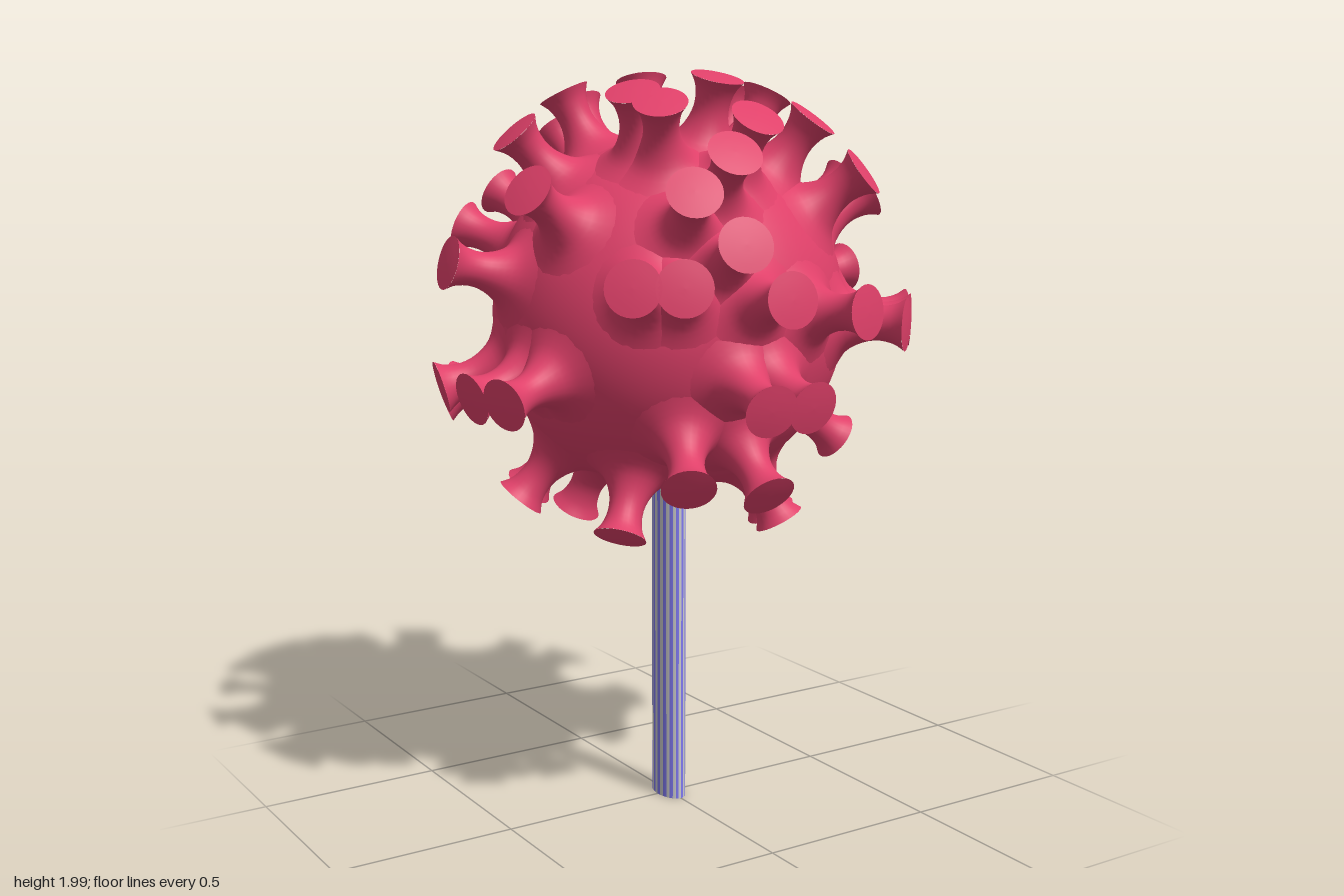
import * as THREE from 'three';
import { mergeGeometries } from 'three/addons/utils/BufferGeometryUtils.js';

const CENTRE_Y = 1.357;
const CORE_R = 0.47;
const TIP_R = 0.645;

// Rings of spikes: latitude, then the longitudes on it (degrees, 0 = front, + towards +x)
const RINGS = [
  [73, 9, 171], [64, -131, -51, 78, 103], [59, -163, -36, 155], [53, 2, 41],
  [48, -166, -98], [42, -13, 129], [36, 42, 139], [32, -71, -26, 84],
  [29, -154, 73, 145], [25, -178], [20, -142, -15], [14, -178, -165, -95],
  [11, -40, -29], [8, -5, 95, 118], [4, 17, 174], [-1, 40, 51, 62, 106],
  [-16, -106, -85, -73, -9, 2], [-20, -137, -117],
];
const LOWER_RINGS = [
  [-36, -27, 82], [-40, -2, 169], [-51, -137, -116, 133], [-58, -54], [-62, -152, 56, 77],
];
const SMALL_RINGS = [[-26, 146], [-37, 137]];

// Spike along +y: stalk flared into the ball and out to the tip, with a domed end
function spikeGeometry() {
  const curve = new THREE.SplineCurve([
    [0.16, 0.437], [0.115, 0.459], [0.077, 0.486], [0.053, 0.528],
    [0.045, 0.57], [0.052, 0.612], [0.069, 0.641],
  ].map(([r, y]) => new THREE.Vector2(r, y)));
  const stalk = new THREE.LatheGeometry(curve.getPoints(16), 28);
  const dome = [0.069, 0.046, 0.023, 0].map(r => new THREE.Vector2(r, Math.sqrt(TIP_R ** 2 - r * r)));
  return mergeGeometries([stalk, new THREE.LatheGeometry(dome, 28)]);
}

// Oval stick made of narrow vertical stripes; parity picks every other stripe
function stripes(parity, height) {
  const count = 32, step = (Math.PI * 2) / count, parts = [];
  for (let i = parity; i < count; i += 2) {
    parts.push(new THREE.CylinderGeometry(1, 1, height, 1, 1, true, i * step, step));
  }
  return mergeGeometries(parts).scale(0.037, 1, 0.064).translate(0, height / 2, 0);
}

export function createModel() {
  const model = new THREE.Group();
  model.name = 'spikyBallOnStick';
  const red = new THREE.MeshStandardMaterial({ color: 0xdf4069 });
  const blue = new THREE.MeshStandardMaterial({ color: 0x7f78f0 });
  const grey = new THREE.MeshStandardMaterial({ color: 0xcccccc });

  const add = (parent, name, geometry, material) => {
    const mesh = new THREE.Mesh(geometry, material);
    mesh.name = name;
    parent.add(mesh);
    return mesh;
  };

  // Ball
  const ball = new THREE.Group();
  ball.name = 'ball';
  ball.position.y = CENTRE_Y;
  model.add(ball);
  add(ball, 'core', new THREE.SphereGeometry(CORE_R, 64, 40), red);

  // Spikes, pointing straight out from the centre
  const spike = spikeGeometry();
  const up = new THREE.Vector3(0, 1, 0);
  const rad = THREE.MathUtils.degToRad;
  const addRings = (rings, name, girth, length) => {
    for (const [latitude, ...longitudes] of rings) {
      for (const longitude of longitudes) {
        const dir = new THREE.Vector3().setFromSphericalCoords(1, rad(90 - latitude), rad(longitude));
        const mesh = add(ball, name, spike, red);
        mesh.quaternion.setFromUnitVectors(up, dir);
        mesh.scale.set(girth, length, girth);
      }
    }
  };
  addRings(RINGS, 'spike', 1, 1);
  addRings(LOWER_RINGS, 'lowerSpike', 1, 1);
  addRings(SMALL_RINGS, 'smallSpike', 0.75, 0.97);

  // Stick
  const stick = new THREE.Group();
  stick.name = 'stick';
  model.add(stick);
  const height = 0.95;
  add(stick, 'blueStripes', stripes(0, height), blue);
  add(stick, 'greyStripes', stripes(1, height), grey);
  const foot = new THREE.CircleGeometry(1, 32).rotateX(Math.PI / 2).scale(0.037, 1, 0.064);
  add(stick, 'stickEnd', foot, grey);

  return model;
}
